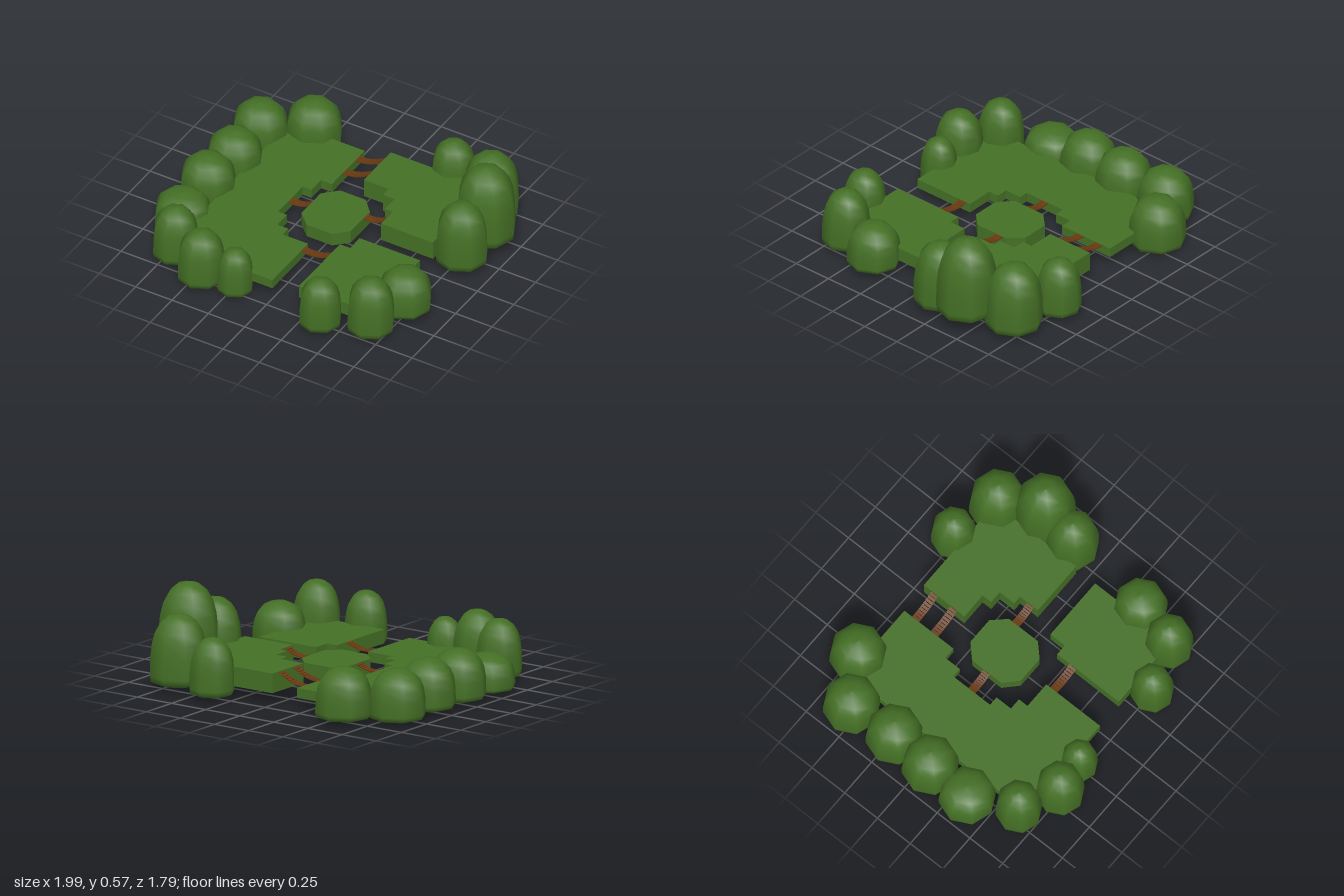
import * as THREE from 'three';

const grass = new THREE.MeshStandardMaterial({ color: 0x446f25 });
grass.name = 'leafGreen';
const wood = new THREE.MeshStandardMaterial({ color: 0x6b3a12 });
wood.name = 'plankBrown';

const BASE = 0.07; // underside of every platform

// Flat slab from an outline of [x, z] points
function slab(name, points, top) {
  const shape = new THREE.Shape(points.map(([x, z]) => new THREE.Vector2(x, -z)));
  const geo = new THREE.ExtrudeGeometry(shape, { depth: top - BASE, bevelEnabled: false });
  geo.rotateX(-Math.PI / 2);
  const mesh = new THREE.Mesh(geo, grass);
  mesh.name = name;
  mesh.position.y = BASE;
  return mesh;
}

// Rounded eight-sided bush, unit radius and height
const bushProfile = [
  [0, 0], [0.78, 0], [0.97, 0.035], [1, 0.12], [0.985, 0.4], [0.93, 0.6],
  [0.82, 0.76], [0.62, 0.89], [0.34, 0.975], [0, 1],
].map(([r, h]) => new THREE.Vector2(r, h));
const bushGeometry = new THREE.LatheGeometry(bushProfile, 8);

function bush([x, z, r, bottom, top], i) {
  const mesh = new THREE.Mesh(bushGeometry, grass);
  mesh.name = 'bush' + (i + 1);
  mesh.position.set(x, bottom, z);
  mesh.scale.set(r, top - bottom, r);
  mesh.rotation.y = 0.08;
  return mesh;
}

// Sagging plank bridge running along x
function bridge([x0, x1, z, y0, y1], i) {
  const group = new THREE.Group();
  group.name = 'bridge' + (i + 1);
  const width = 0.053, sag = 0.016, count = 9;
  const at = (t) => new THREE.Vector3(
    x0 + (x1 - x0) * t, y0 + (y1 - y0) * t - 4 * sag * t * (1 - t) - 0.003, z);
  const step = (x1 - x0) / count;
  const plankGeometry = new THREE.BoxGeometry(step * 0.86, 0.006, width);
  for (let k = 0; k < count; k++) {
    const a = at(k / count), b = at((k + 1) / count);
    const plank = new THREE.Mesh(plankGeometry, wood);
    plank.name = 'plank';
    plank.position.copy(a).add(b).multiplyScalar(0.5);
    plank.rotation.z = Math.atan2(b.y - a.y, b.x - a.x);
    group.add(plank);
  }
  // Side runners under the planks
  const pts = [0, 0.25, 0.5, 0.75, 1].map(at);
  const runnerGeometry = new THREE.TubeGeometry(new THREE.CatmullRomCurve3(pts), 10, 0.003, 5);
  for (const side of [-1, 1]) {
    const runner = new THREE.Mesh(runnerGeometry, wood);
    runner.name = 'runner';
    runner.position.set(0, -0.003, side * width * 0.38);
    group.add(runner);
  }
  return group;
}

export function createModel() {
  const model = new THREE.Group();
  model.name = 'gardenPlatforms';

  // Stepped platforms around the centre
  model.add(slab('rightPlatform', [
    [-0.7, -0.675], [-0.18, -0.675], [-0.18, -0.3], [-0.255, -0.3], [-0.255, -0.19],
    [-0.315, -0.19], [-0.315, 0.09], [-0.255, 0.09], [-0.255, 0.2], [-0.18, 0.2],
    [-0.18, 0.265], [-0.005, 0.265], [-0.005, 0.675], [-0.7, 0.675],
  ], 0.13));
  model.add(slab('backLeftPlatform', [
    [0, -0.675], [0.66, -0.675], [0.66, -0.055], [0.305, -0.055], [0.305, -0.19],
    [0.25, -0.19], [0.25, -0.3], [0.17, -0.3], [0.17, -0.365], [0, -0.365],
  ], 0.19));
  model.add(slab('frontLeftPlatform', [
    [0.245, 0.09], [0.66, 0.09], [0.66, 0.67], [0.175, 0.67], [0.175, 0.2], [0.245, 0.2],
  ], 0.155));
  model.add(slab('centrePlatform', [
    [-0.09, -0.245], [0.085, -0.245], [0.165, -0.16], [0.165, 0.06],
    [0.085, 0.14], [-0.09, 0.14], [-0.175, 0.06], [-0.175, -0.16],
  ], 0.155));

  // Bushes: x, z, radius, bottom, top
  [
    [-0.555, -0.72, 0.173, 0.02, 0.325], [-0.822, -0.55, 0.173, 0.02, 0.32],
    [-0.81, -0.235, 0.173, 0.02, 0.32], [-0.822, 0.05, 0.173, 0.02, 0.32],
    [-0.825, 0.335, 0.173, 0.02, 0.235], [-0.7, 0.625, 0.14, 0.02, 0.365],
    [-0.455, 0.74, 0.146, 0.02, 0.36], [-0.24, 0.71, 0.111, 0, 0.29],
    [0.375, 0.76, 0.13, 0.025, 0.345], [0.66, 0.655, 0.145, 0.03, 0.39],
    [0.73, 0.38, 0.163, 0.04, 0.305], [0.783, -0.185, 0.161, 0.035, 0.44],
    [0.81, -0.415, 0.184, 0.08, 0.575], [0.688, -0.675, 0.174, 0.03, 0.45],
    [0.38, -0.76, 0.137, 0.025, 0.37],
  ].forEach((b, i) => model.add(bush(b, i)));

  // Bridges: start x, end x, z, start height, end height
  [
    [-0.18, 0, -0.59, 0.13, 0.19], [-0.18, 0, -0.445, 0.13, 0.19],
    [-0.315, -0.175, -0.05, 0.13, 0.155], [0.165, 0.305, -0.11, 0.155, 0.19],
    [-0.005, 0.175, 0.32, 0.13, 0.155],
  ].forEach((b, i) => model.add(bridge(b, i)));

  return model;
}
